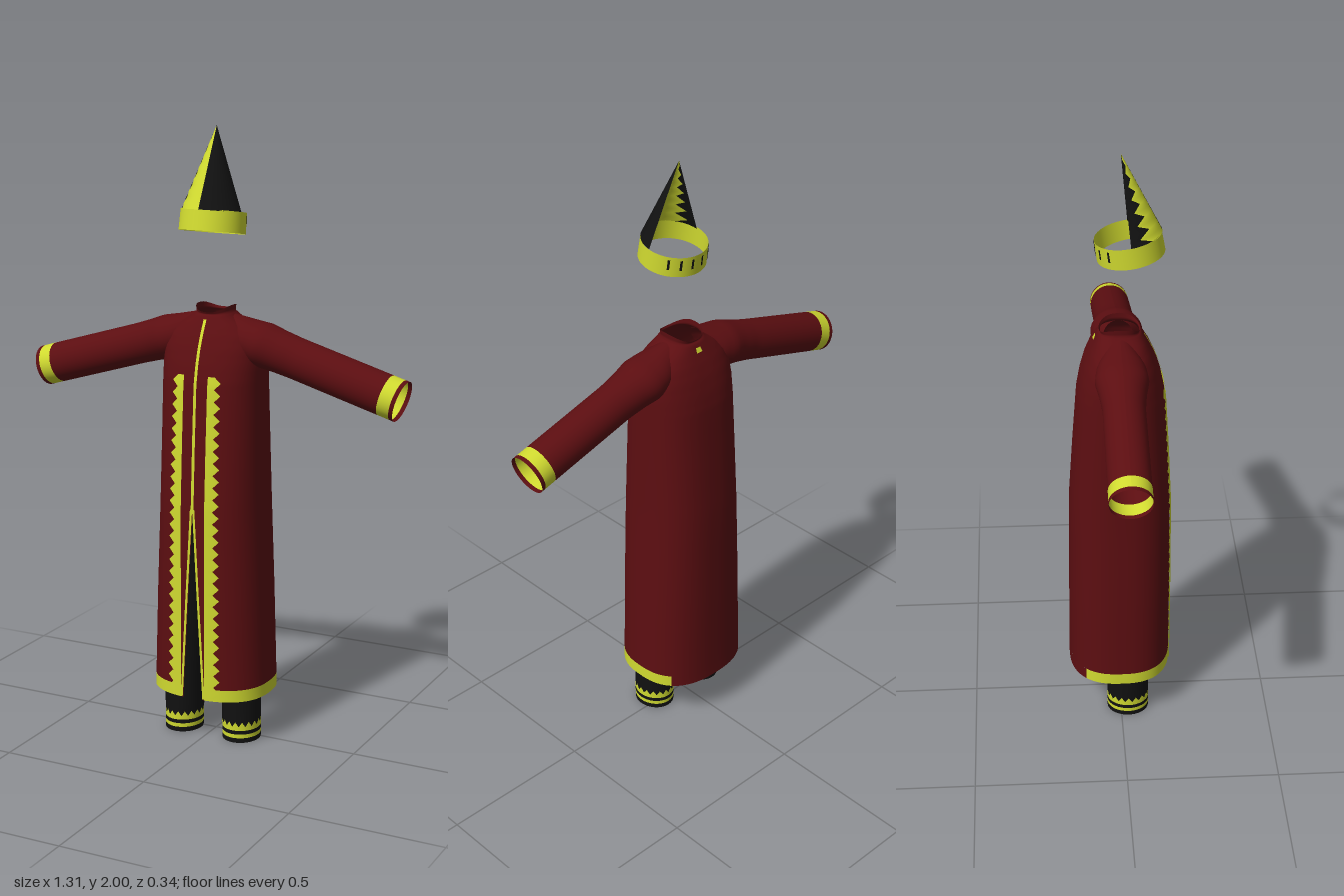
import * as THREE from 'three';
import { ParametricGeometry } from 'three/addons/geometries/ParametricGeometry.js';

const PI = Math.PI;

// Robe sections: height, half width, front depth, back depth
const ROBE = [
  [0.16, 0.197, 0.168, 0.172], [0.2, 0.196, 0.168, 0.171], [0.5, 0.186, 0.168, 0.169],
  [0.8, 0.174, 0.166, 0.165], [1.0, 0.17, 0.156, 0.152], [1.2, 0.167, 0.144, 0.137],
  [1.26, 0.167, 0.132, 0.126], [1.31, 0.163, 0.117, 0.112], [1.35, 0.148, 0.1, 0.096],
  [1.38, 0.115, 0.085, 0.081], [1.405, 0.074, 0.071, 0.069], [1.42, 0.058, 0.062, 0.06],
  [1.44, 0.059, 0.066, 0.064],
];
// Sleeve sections: distance out, depth radius, height radius
const SLEEVE = [
  [0.05, 0.05, 0.06], [0.12, 0.078, 0.066], [0.17, 0.084, 0.072], [0.22, 0.073, 0.068],
  [0.28, 0.066, 0.066], [0.7, 0.066, 0.066],
];
// Leg sections: height, centre x, half width, half depth
const LEG = [
  [0, 0.107, 0.062, 0.07], [0.2, 0.105, 0.065, 0.071], [0.5, 0.092, 0.07, 0.075], [0.75, 0.082, 0.074, 0.08],
];

function sample(table, k) {
  let i = 0;
  while (i < table.length - 2 && k > table[i + 1][0]) i++;
  const f = Math.min(1, Math.max(0, (k - table[i][0]) / (table[i + 1][0] - table[i][0])));
  return table[i].map((a, j) => a + (table[i + 1][j] - a) * f);
}
const lerp = THREE.MathUtils.lerp;
const spow = (v) => Math.sign(v) * Math.abs(v) ** 0.8;
const slitHalf = (y) => (y < 0.8 ? 0.036 * (0.8 - y) / 0.64 : 0);
const slitAngle = (y) => Math.asin((slitHalf(y) / sample(ROBE, y)[1]) ** 1.25);

// Point on the robe at an angle measured from the front
function robePoint(t, y, p, off = 0) {
  const [, a, front, back] = sample(ROBE, y);
  const c = Math.cos(t);
  const dip = y > 1.41 ? (y - 1.41) * 0.65 * c * c : 0;
  p.set((a + off) * spow(Math.sin(t)), y - dip, ((c > 0 ? front : back) + off) * spow(c));
}
// Point just outside the robe's front at a given x
function frontPoint(x, y, p) {
  const [, a, front] = sample(ROBE, y);
  p.set(x, y, front * (1 - (Math.abs(x) / a) ** 2.5) ** 0.4 + 0.004);
}

export function createModel() {
  const model = new THREE.Group();
  const material = (name, color) =>
    new THREE.MeshStandardMaterial({ name, color, side: THREE.DoubleSide });
  const red = material('dark red cloth', 0x5c0e11);
  const yellow = material('yellow trim', 0xd0da30);
  const black = material('black cloth', 0x111111);

  const add = (name, geometry, mat, parent = model) => {
    const mesh = new THREE.Mesh(geometry, mat);
    mesh.name = name;
    parent.add(mesh);
    return mesh;
  };
  const surface = (name, mat, cols, rows, fn, parent) => {
    const g = new ParametricGeometry(fn, cols, rows);
    g.computeVertexNormals();
    return add(name, g, mat, parent);
  };

  // Robe shell, open at the front slit
  const spans = ROBE.length - 2;
  surface('robe', red, 80, spans * 3, (u, v, p) => {
    const k = v * spans, i = Math.min(spans - 1, Math.floor(k));
    const y = lerp(ROBE[i + 1][0], ROBE[i + 2][0], k - i);
    const s = slitAngle(y);
    robePoint(lerp(s, 2 * PI - s, u), y, p);
  });
  // Hem: trimmed at front and sides, plain at the back
  const hem = (name, mat, from, to, cols) =>
    surface(name, mat, cols, 2, (u, v, p) => {
      const y = lerp(0.16, 0.2, v);
      robePoint(lerp(from(y), to, u), y, p);
    });
  hem('hemBack', red, () => 2.26, 2 * PI - 2.26, 24);
  hem('hemTrimLeft', yellow, () => 0.14, 2.26, 30);
  hem('hemTrimRight', yellow, () => -0.14, -2.26, 30);
  hem('hemFrontLeft', red, slitAngle, 0.14, 3);
  hem('hemFrontRight', red, (y) => -slitAngle(y), -0.14, 3);

  // Centre closure and collar mark
  surface('closureTrim', yellow, 2, 40, (u, v, p) => frontPoint(lerp(-0.005, 0.005, u), lerp(0.79, 1.4, v), p));
  surface('collarMark', yellow, 3, 2, (u, v, p) => robePoint(lerp(PI - 0.06, PI + 0.06, u), lerp(1.385, 1.4, v), p, 0.004));

  const teeth = 27;
  for (const side of [1, -1]) {
    const label = side > 0 ? 'Left' : 'Right';
    // Toothed trim down the front
    surface('frontTrim' + label, yellow, 4, teeth * 2, (u, v, p) => {
      const y = lerp(0.17, 1.23, v);
      const tip = Math.round(v * teeth * 2) % 2;
      const outer = lerp(0.074, 0.064, v) + tip * 0.02;
      frontPoint(side * lerp(0.042, outer, u), y, p);
    });
    // Slit edging
    surface('slitTrim' + label, yellow, 2, 30, (u, v, p) => {
      const y = lerp(0.165, 0.8, v);
      frontPoint(side * (slitHalf(y) + u * 0.008), y, p);
    });

    // Sleeve with cuff trim
    const sleeve = (name, mat, x0, x1, rows) =>
      surface(name + label, mat, 36, rows, (u, v, p) => {
        const x = lerp(x0, x1, v), t = u * 2 * PI;
        const [, rz, ry] = sample(SLEEVE, x);
        const h = ry * Math.cos(t);
        p.set(side * (x + 0.287 * h), 1.182 + (0.64 - x) * 0.292 + 0.958 * h, rz * Math.sin(t));
      });
    sleeve('sleeve', red, 0.05, 0.585, 32);
    sleeve('cuffTrim', yellow, 0.585, 0.625, 2);
    sleeve('cuffEdge', red, 0.625, 0.638, 1);

    // Trouser leg in coloured rings, one with a zigzag edge
    const zig = (i) => 0.055 + (i % 2) * 0.016;
    const leg = (name, mat, low, high, rows) =>
      surface(name + label, mat, 36, rows, (u, v, p) => {
        const i = Math.round(u * 36), t = u * 2 * PI;
        const y = lerp(low(i), high(i), v);
        const [, cx, rx, rz] = sample(LEG, y);
        p.set(side * (cx + rx * Math.sin(t)), y, 0.024 + rz * Math.cos(t));
      });
    const at = (y) => () => y;
    leg('legEdge', black, at(0), at(0.016), 1);
    leg('legStripe', yellow, at(0.016), at(0.029), 1);
    leg('legGap', black, at(0.029), at(0.042), 1);
    leg('legZigzag', yellow, at(0.042), zig, 1);
    leg('leg', black, zig, at(0.75), 16);
  }

  // Hat band, tipped up at the front
  const hat = new THREE.Group();
  hat.name = 'hat';
  model.add(hat);
  const band = new THREE.Group();
  band.name = 'hatBand';
  band.position.set(0.004, 1.704, 0.031);
  band.rotation.x = -0.16;
  hat.add(band);
  add('bandRing', new THREE.CylinderGeometry(0.104, 0.106, 0.067, 48, 1, true), yellow, band);
  for (let i = 0; i < 6; i++) {
    const start = PI + (i - 2.5) * 0.36 - 0.035;
    const tick = add('bandTick', new THREE.CylinderGeometry(0.107, 0.108, 0.034, 2, 1, true, start, 0.07), black, band);
    tick.position.y = 0.008;
  }

  // Half cone, open at the back, with a jagged panel on one side
  const rows = 14;
  const jag = (v) => -0.8 - (Math.round(v * rows) % 2 ? 0.45 : 0);
  const cone = (name, mat, from, to, cols) =>
    surface(name, mat, cols, rows, (u, v, p) => {
      const t = lerp(from(v), to(v), u), r = 0.1 * (1 - v);
      p.set(0.004 + r * Math.sin(t), lerp(1.735, 2, v) + 0.16 * r * Math.cos(t),
        lerp(0.031, 0.005, v) + r * Math.cos(t));
    }, hat);
  cone('coneLeft', black, () => 0, () => PI / 2, 14);
  cone('conePanel', yellow, jag, () => 0, 10);
  cone('coneRight', black, () => -PI / 2, jag, 6);

  return model;
}
